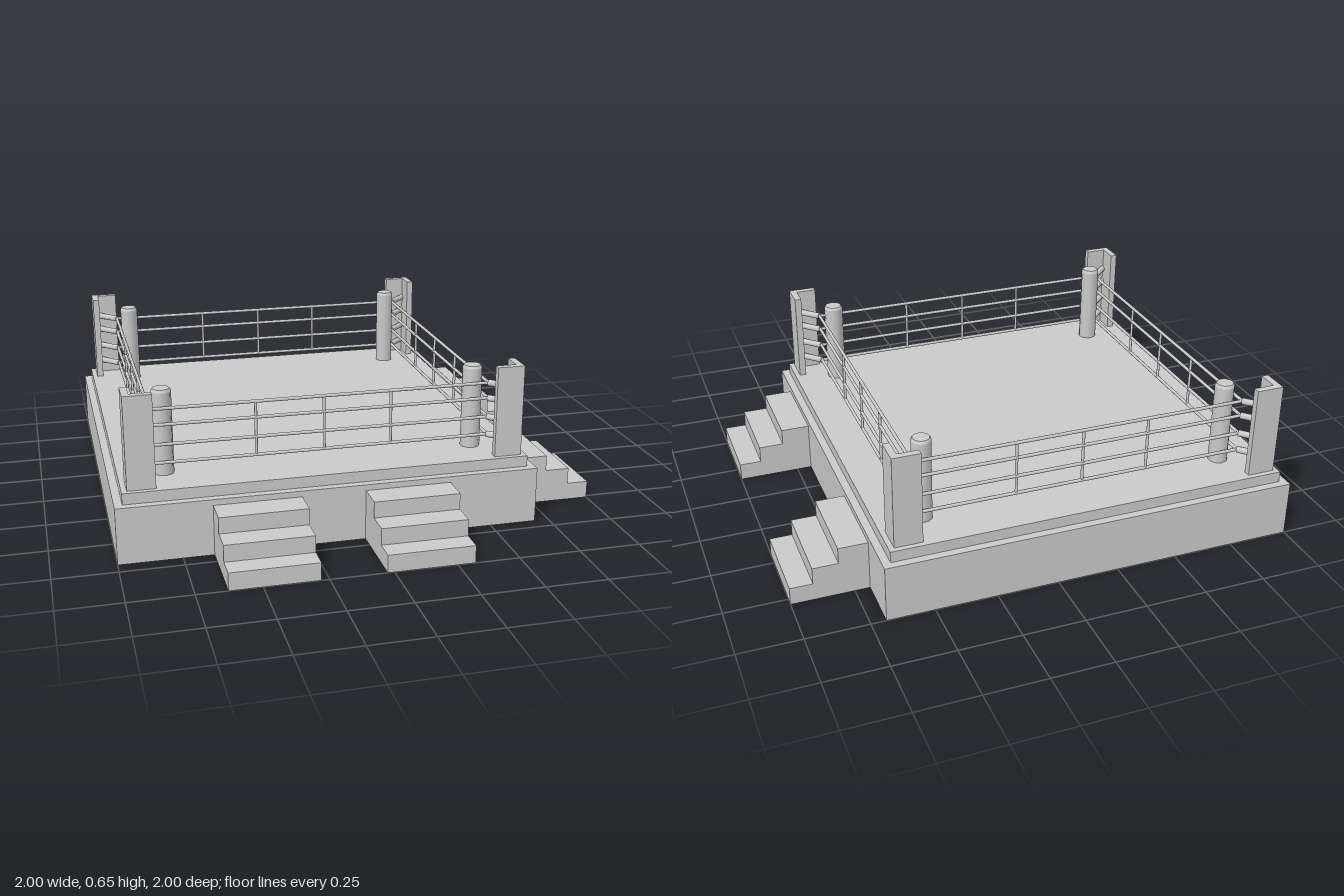
import * as THREE from 'three';

const material = new THREE.MeshStandardMaterial({ color: 0xcccccc });

function add(parent, name, geometry, x = 0, y = 0, z = 0) {
  const mesh = new THREE.Mesh(geometry, material);
  mesh.name = name;
  mesh.position.set(x, y, z);
  parent.add(mesh);
  return mesh;
}

// Round bar between two points
function bar(parent, name, a, b, radius) {
  const dir = b.clone().sub(a);
  const mesh = add(parent, name, new THREE.CylinderGeometry(radius, radius, dir.length(), 8));
  mesh.position.copy(a).add(b).multiplyScalar(0.5);
  mesh.quaternion.setFromUnitVectors(new THREE.Vector3(0, 1, 0), dir.normalize());
  return mesh;
}

const v = (x, y, z) => new THREE.Vector3(x, y, z);

const CENTRE = -0.155;
const FLOOR = 0.275;
const ROPE = 0.684; // distance of the ropes from the ring centre
const POST = 0.792; // distance of the outer post faces
const ROPE_HEIGHTS = [0.335, 0.41, 0.49, 0.555];

// L-shaped post, corner outwards
function postGeometry() {
  const s = 0.112, t = 0.028;
  const points = [[0, 0], [-s, 0], [-s, -t], [-t, -t], [-t, -s], [0, -s]];
  const shape = new THREE.Shape(points.map(([x, y]) => new THREE.Vector2(x, y)));
  const geometry = new THREE.ExtrudeGeometry(shape, { depth: 0.375, bevelEnabled: false });
  return geometry.rotateX(-Math.PI / 2);
}

// Faceted corner pad with a softened top edge
function padGeometry() {
  const profile = [[0, 0], [0.04, 0], [0.04, 0], [0.04, 0.335], [0.04, 0.335], [0.034, 0.346], [0.034, 0.346], [0, 0.346]];
  return new THREE.LatheGeometry(profile.map(([x, y]) => new THREE.Vector2(x, y)), 10);
}

// Three solid steps rising towards the platform
function stairsGeometry(width) {
  const points = [[0, 0], [0.31, 0], [0.31, 0.072], [0.22, 0.072], [0.22, 0.14], [0.118, 0.14], [0.118, 0.206], [0, 0.206]];
  const shape = new THREE.Shape(points.map(([x, y]) => new THREE.Vector2(x, y)));
  const geometry = new THREE.ExtrudeGeometry(shape, { depth: width, bevelEnabled: false });
  return geometry.translate(0, 0, -width / 2);
}

export function createModel() {
  const model = new THREE.Group();
  model.name = 'boxingRing';

  const ring = new THREE.Group();
  ring.name = 'ring';
  ring.position.set(CENTRE, 0, CENTRE);
  model.add(ring);

  // Platform
  add(ring, 'platformBase', new THREE.BoxGeometry(1.69, 0.23, 1.69), 0, 0.115, 0);
  add(ring, 'canvasFloor', new THREE.BoxGeometry(1.626, 0.045, 1.626), 0, 0.2525, 0);

  // Four identical sides, each with one corner and one run of ropes
  const post = postGeometry();
  const pad = padGeometry();
  for (let k = 0; k < 4; k++) {
    const side = new THREE.Group();
    side.name = `side${k + 1}`;
    side.rotation.y = k * Math.PI / 2;
    ring.add(side);

    const corner = add(side, 'cornerPost', post, POST, FLOOR, POST);
    corner.rotation.y = 0;
    // The post shape runs towards -z in plan, so turn it onto this corner
    corner.rotation.y = Math.PI / 2;
    corner.rotation.y = -Math.PI / 2;
    add(side, 'cornerPad', pad, 0.631, FLOOR, 0.631);

    for (const y of ROPE_HEIGHTS) {
      bar(side, 'rope', v(-ROPE, y, ROPE), v(ROPE, y, ROPE), 0.007);
      bar(side, 'turnbuckle', v(ROPE, y, ROPE), v(0.772, y, 0.772), 0.014);
    }
    for (const x of [-0.273, 0, 0.273]) {
      bar(side, 'ropeSpacer', v(x, ROPE_HEIGHTS[0], ROPE), v(x, ROPE_HEIGHTS[3], ROPE), 0.006);
    }
  }

  // Two stairs at the front and two on the left side
  const stairs = stairsGeometry(0.348);
  for (const x of [-0.455, 0.147]) {
    add(model, 'frontStairs', stairs, x, 0, 0.69).rotation.y = -Math.PI / 2;
  }
  for (const z of [-0.61, 0.34]) {
    add(model, 'sideStairs', stairs, 0.69, 0, z);
  }
  return model;
}
